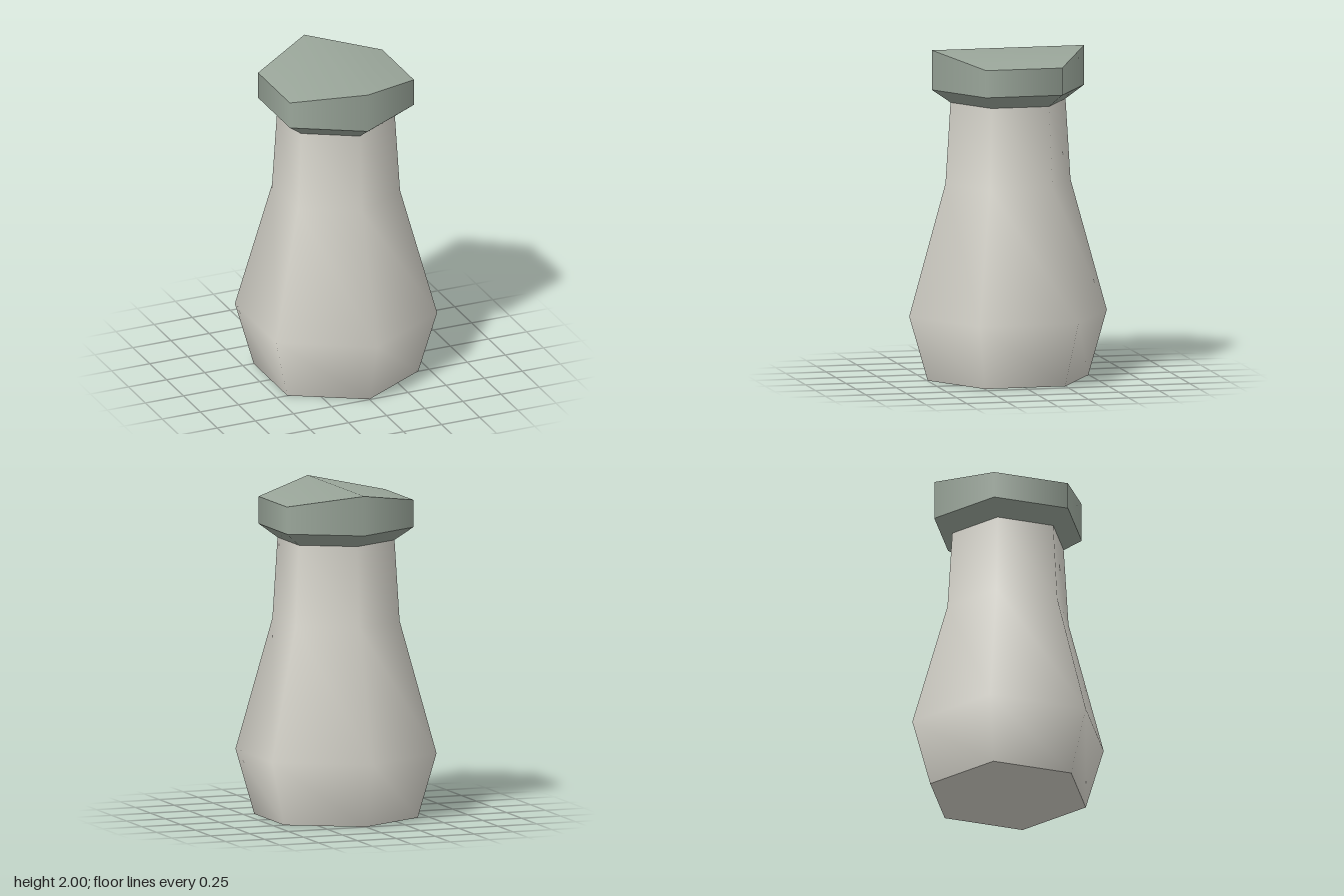
import * as THREE from 'three';

const SIDES = 6;

export function createModel() {
  const model = new THREE.Group();
  model.name = 'hexagonalBottle';

  const glaze = new THREE.MeshStandardMaterial({ color: 0xd6d4cb });
  glaze.name = 'pale stone';
  const green = new THREE.MeshStandardMaterial({ color: 0x9aa69a });
  green.name = 'sage green';

  const add = (parent, name, geometry, material) => {
    const mesh = new THREE.Mesh(geometry, material);
    mesh.name = name;
    parent.add(mesh);
    return mesh;
  };

  // Body: smooth-shaded hexagonal lathe with corners on the z axis
  const profile = [[0.496, 0], [0.61, 0.392], [0.386, 1.19], [0.355, 1.68]]
    .map(([r, y]) => new THREE.Vector2(r, y));
  add(model, 'body', new THREE.LatheGeometry(profile, SIDES), glaze);

  // Flat base
  const base = new THREE.CylinderGeometry(0.496, 0.496, 0.002, SIDES);
  base.translate(0, 0.001, 0);
  add(model, 'base', base, glaze);

  // Stopper
  const stopper = new THREE.Group();
  stopper.name = 'stopper';
  model.add(stopper);
  const R = 0.47, HALF = R * Math.sin(Math.PI / 3);
  const ridgeY = 2, eaveY = 1.925, rimY = 1.76, neckY = 1.68;

  // Bevel flaring out from the neck
  const bevel = new THREE.CylinderGeometry(R, 0.355, rimY - neckY, SIDES, 1, true);
  bevel.translate(0, (rimY + neckY) / 2, 0);
  add(stopper, 'stopperBevel', bevel, green);

  // Upright sides, their top edge following the ridged roof
  const roofY = (x) => ridgeY - (ridgeY - eaveY) * Math.abs(x) / HALF;
  const wall = new THREE.CylinderGeometry(R, R, 1, SIDES, 1, true);
  const wp = wall.attributes.position;
  for (let i = 0; i < wp.count; i++) {
    wp.setY(i, wp.getY(i) > 0 ? roofY(wp.getX(i)) : rimY);
  }
  add(stopper, 'stopperSides', wall, green);

  // Two-slope top, with its ridge running front to back
  const roof = new THREE.PlaneGeometry(HALF * 2, 2, 2, 1);
  roof.rotateX(-Math.PI / 2);
  const rp = roof.attributes.position;
  for (let i = 0; i < rp.count; i++) {
    const x = rp.getX(i);
    rp.setY(i, roofY(x));
    rp.setZ(i, Math.sign(rp.getZ(i)) * R * (1 - 0.5 * Math.abs(x) / HALF));
  }
  roof.computeVertexNormals();
  add(stopper, 'stopperTop', roof, green);

  return model;
}
